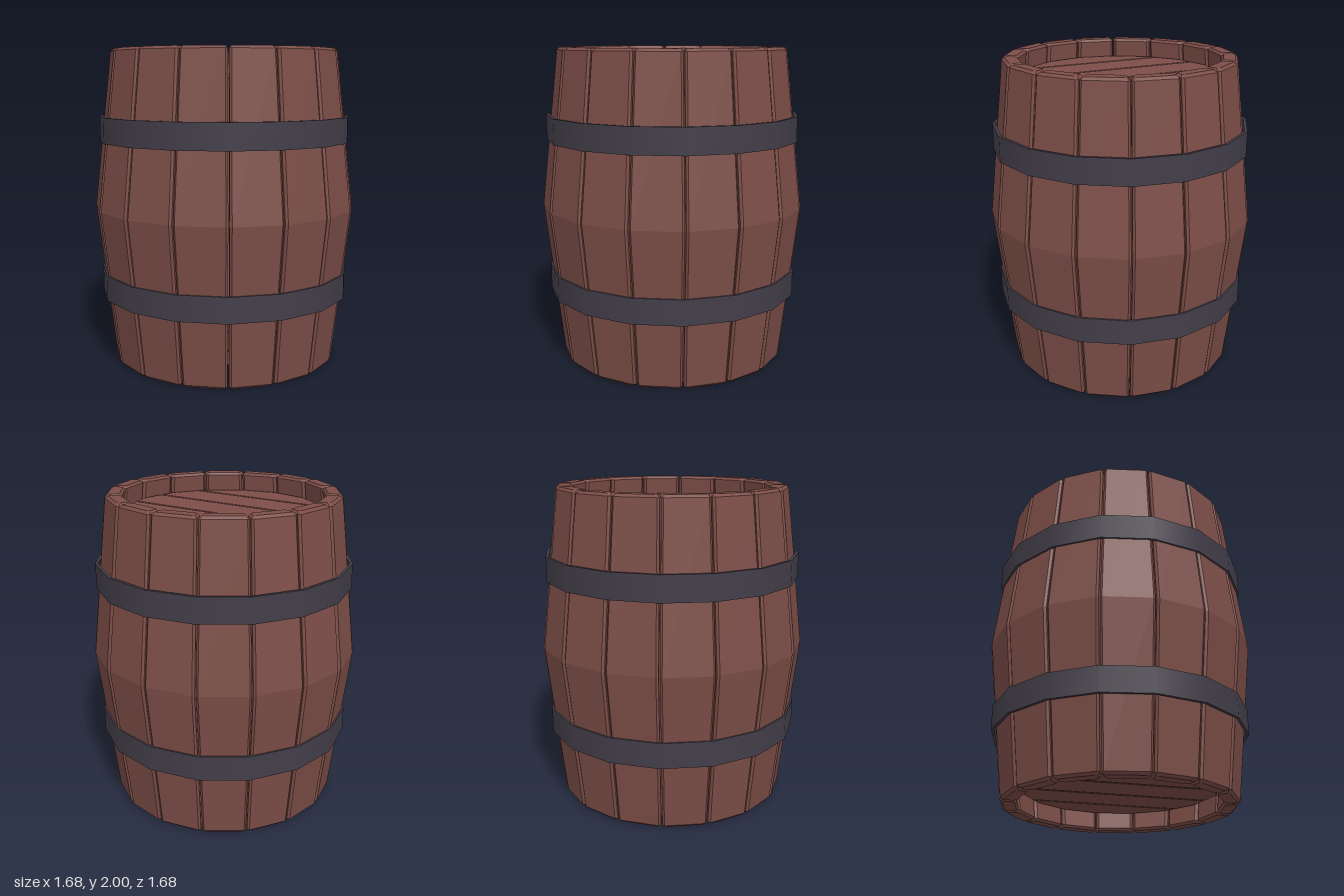
import * as THREE from 'three';

const SIDES = 16;
const STEP = (Math.PI * 2) / SIDES;
const wood = new THREE.MeshStandardMaterial({ color: 0x7d4e48 });
wood.name = 'wood';
const iron = new THREE.MeshStandardMaterial({ color: 0x433e49 });
iron.name = 'iron';

// Chamfered stave section at height y: x is radial, z is along the rim
function staveSection(y, cornerRadius, inset) {
  const gap = 0.004, c = 0.014, thickness = 0.1;
  const slope = Math.tan(STEP / 2);
  const full = cornerRadius * Math.cos(STEP / 2);
  const outer = full - inset, inner = full - thickness + inset;
  const half = (r) => r * slope - gap - inset;
  const side = [
    [inner, half(inner) - c], [inner + c, half(inner + c)],
    [outer - c, half(outer - c)], [outer, half(outer) - c],
  ];
  const loop = [...side, ...side.map(([r, z]) => [r, -z]).reverse()];
  return loop.map(([r, z]) => [r, y, z]);
}

// Loft the sections from bottom to top and close both ends
function loft(sections) {
  const n = sections[0].length, index = [];
  for (let s = 0; s < sections.length - 1; s++) {
    for (let i = 0; i < n; i++) {
      const a = s * n + i, b = s * n + ((i + 1) % n);
      index.push(a, b, b + n, a, b + n, a + n);
    }
  }
  const top = (sections.length - 1) * n;
  for (let i = 1; i < n - 1; i++) {
    index.push(0, i + 1, i, top, top + i, top + i + 1);
  }
  const g = new THREE.BufferGeometry();
  g.setAttribute('position', new THREE.Float32BufferAttribute(sections.flat(2), 3));
  g.setIndex(index);
  const flat = g.toNonIndexed();
  flat.computeVertexNormals();
  return flat;
}

function buildStaves() {
  const group = new THREE.Group();
  group.name = 'staves';
  const geometry = loft([
    staveSection(0, 0.729, 0.014),
    staveSection(0.016, 0.731, 0),
    staveSection(1, 0.845, 0),
    staveSection(1.984, 0.731, 0),
    staveSection(2, 0.729, 0.014),
  ]);
  for (let i = 0; i < SIDES; i++) {
    const stave = new THREE.Mesh(geometry, wood);
    stave.name = 'stave';
    stave.rotation.y = (i + 0.5) * STEP;
    group.add(stave);
  }
  return group;
}

// One lid plank: a strip of the regular polygon between x0 and x1
function plankGeometry(x0, x1, radius, thickness) {
  const corners = [];
  for (let i = 0; i <= SIDES / 2; i++) {
    corners.push([-radius * Math.cos(i * STEP), radius * Math.sin(i * STEP)]);
  }
  const edgeAt = (x) => {
    for (let i = 1; i < corners.length; i++) {
      const [ax, ay] = corners[i - 1], [bx, by] = corners[i];
      if (x <= bx + 1e-6) return ay + ((by - ay) * (x - ax)) / (bx - ax);
    }
    return 0;
  };
  const upper = [[x0, edgeAt(x0)], ...corners.filter(([x]) => x > x0 + 1e-4 && x < x1 - 1e-4), [x1, edgeAt(x1)]];
  const lower = upper.filter(([, y]) => y > 1e-4).map(([x, y]) => [x, -y]).reverse();
  const shape = new THREE.Shape([...upper, ...lower].map(([x, y]) => new THREE.Vector2(x, y)));
  const bevel = 0.006;
  const g = new THREE.ExtrudeGeometry(shape, {
    depth: thickness - 2 * bevel, bevelEnabled: true, bevelSegments: 1,
    bevelSize: bevel, bevelThickness: bevel, bevelOffset: -bevel,
  });
  g.translate(0, 0, bevel - thickness / 2);
  g.rotateX(-Math.PI / 2);
  return g;
}

function buildLid(name, y) {
  const group = new THREE.Group();
  group.name = name;
  const cuts = [-0.625, -0.393, -0.135, 0.123, 0.383, 0.625];
  for (let i = 0; i < cuts.length - 1; i++) {
    const x0 = cuts[i] + (i > 0 ? 0.003 : 0);
    const x1 = cuts[i + 1] - (i < cuts.length - 2 ? 0.003 : 0);
    const plank = new THREE.Mesh(plankGeometry(x0, x1, 0.625, 0.07), wood);
    plank.name = 'lidPlank';
    group.add(plank);
  }
  group.position.y = y;
  return group;
}

// Smooth metal band with a thin rectangular section
function buildHoop(name, y) {
  const group = new THREE.Group();
  group.name = name;
  const outerRadius = 0.808, innerRadius = 0.79, height = 0.16;
  const wall = (r) => new THREE.CylinderGeometry(r, r, height, SIDES, 1, true);
  const outside = new THREE.Mesh(wall(outerRadius), iron);
  outside.name = 'hoopOutside';
  const inside = new THREE.Mesh(wall(innerRadius).scale(-1, 1, 1), iron);
  inside.name = 'hoopInside';
  group.add(outside, inside);
  for (const side of [1, -1]) {
    const rim = new THREE.Mesh(new THREE.RingGeometry(innerRadius, outerRadius, SIDES), iron);
    rim.name = 'hoopEdge';
    rim.rotation.x = (-side * Math.PI) / 2;
    rim.position.y = (side * height) / 2;
    group.add(rim);
  }
  group.position.y = y;
  return group;
}

export function createModel() {
  const barrel = new THREE.Group();
  barrel.name = 'barrel';
  barrel.add(
    buildStaves(),
    buildLid('topLid', 1.85),
    buildLid('bottomLid', 0.15),
    buildHoop('upperHoop', 1.5),
    buildHoop('lowerHoop', 0.51),
  );
  return barrel;
}
